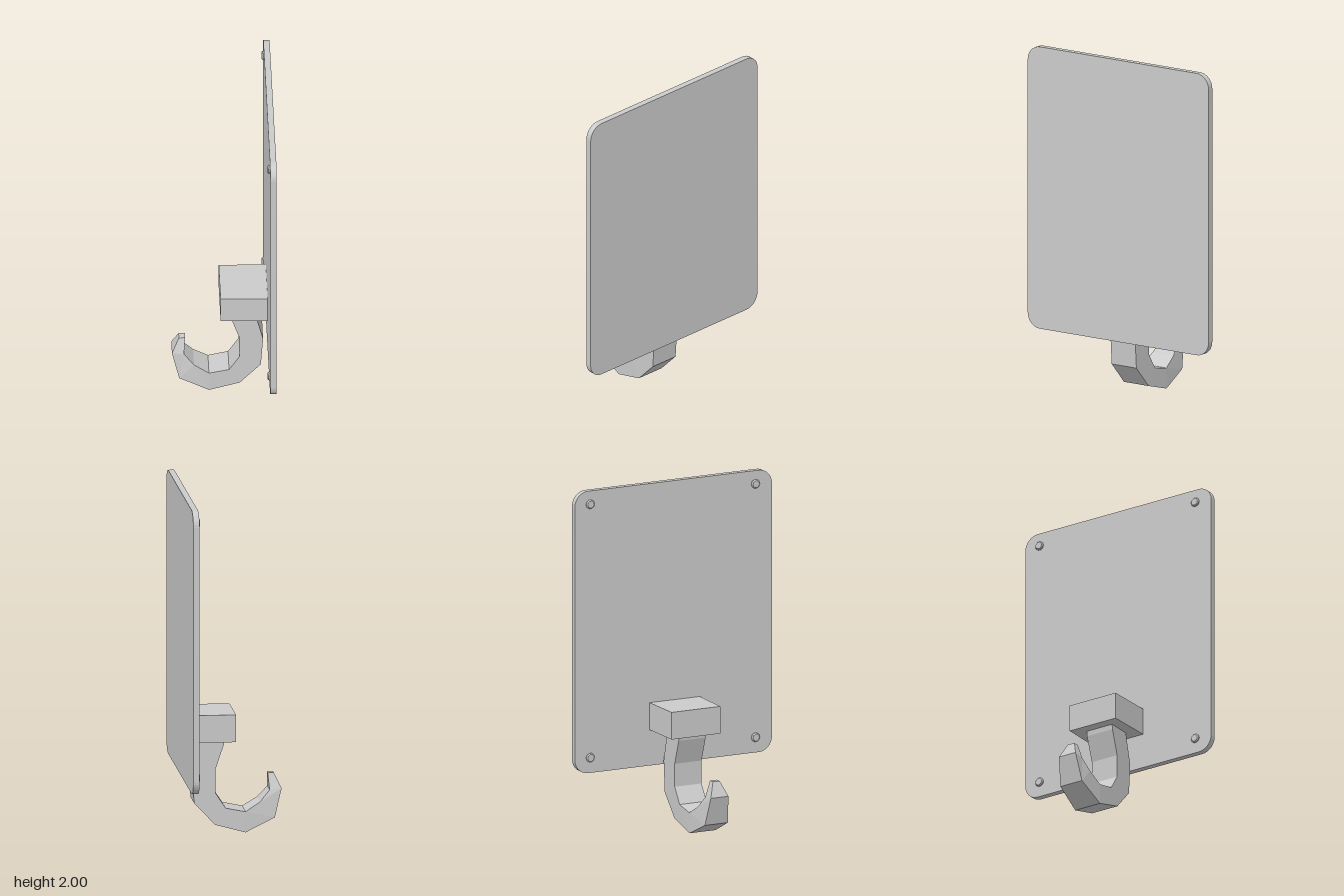
import * as THREE from 'three';

const material = new THREE.MeshStandardMaterial({ color: 0xcccccc, flatShading: true });

function addMesh(parent, name, geometry) {
  const mesh = new THREE.Mesh(geometry, material);
  mesh.name = name;
  parent.add(mesh);
  return mesh;
}

// Rounded rectangle centred on the origin
function roundedRect(w, h, r) {
  const s = new THREE.Shape();
  const x = w / 2, y = h / 2;
  s.moveTo(-x + r, -y);
  s.lineTo(x - r, -y);
  s.absarc(x - r, -y + r, r, -Math.PI / 2, 0);
  s.lineTo(x, y - r);
  s.absarc(x - r, y - r, r, 0, Math.PI / 2);
  s.lineTo(-x + r, y);
  s.absarc(-x + r, y - r, r, Math.PI / 2, Math.PI);
  s.lineTo(-x, -y + r);
  s.absarc(-x + r, -y + r, r, Math.PI, Math.PI * 1.5);
  return s;
}

// Hook swept through four-cornered sections: [innerX, innerY, outerX, outerY, halfWidth]
function hookGeometry() {
  const sections = [
    [0.042, 0.56, 0.182, 0.56, 0.087],
    [0.046, 0.52, 0.192, 0.52, 0.087],
    [0.095, 0.375, 0.23, 0.365, 0.087],
    [0.095, 0.24, 0.217, 0.182, 0.087],
    [0.035, 0.148, 0.097, 0.053, 0.087],
    [-0.08, 0.124, -0.08, 0.003, 0.085],
    [-0.165, 0.177, -0.25, 0.084, 0.074],
    [-0.222, 0.243, -0.291, 0.25, 0.057],
    [-0.215, 0.335, -0.25, 0.335, 0.022],
  ];
  const zMid = 0.011;
  const positions = [], index = [];
  for (const [ix, iy, ox, oy, w] of sections) {
    positions.push(ix, iy, zMid - w, ox, oy, zMid - w, ox, oy, zMid + w, ix, iy, zMid + w);
  }
  const quad = (a, b, c, d) => index.push(a, b, c, a, c, d);
  for (let i = 0; i < sections.length - 1; i++) {
    for (let k = 0; k < 4; k++) {
      const a = i * 4 + k, b = i * 4 + (k + 1) % 4;
      quad(a, b, b + 4, a + 4);
    }
  }
  const end = (sections.length - 1) * 4;
  quad(0, 3, 2, 1);
  quad(end, end + 1, end + 2, end + 3);
  const g = new THREE.BufferGeometry();
  g.setAttribute('position', new THREE.Float32BufferAttribute(positions, 3));
  g.setIndex(index);
  const flat = g.toNonIndexed();
  flat.computeVertexNormals();
  return flat;
}

export function createModel() {
  const model = new THREE.Group();
  model.name = 'wallHook';

  // Thin backing plate
  const plate = new THREE.ExtrudeGeometry(roundedRect(1.276, 1.66, 0.085), {
    depth: 0.036, bevelEnabled: false, curveSegments: 4,
  });
  plate.rotateY(-Math.PI / 2);
  plate.translate(0.29, 1.17, 0);
  addMesh(model, 'backPlate', plate);

  // Block that carries the hook, slightly wider where it meets the plate
  const block = new THREE.BoxGeometry(0.275, 0.16, 0.315);
  block.translate(0.122, 0.63, 0.003);
  const p = block.attributes.position;
  for (let i = 0; i < p.count; i++) {
    if (p.getX(i) > 0.2 && p.getZ(i) > 0) p.setZ(i, 0.171);
  }
  block.computeVertexNormals();
  addMesh(model, 'mountBlock', block);

  addMesh(model, 'hook', hookGeometry());

  // Screw heads in the four corners
  const screw = new THREE.LatheGeometry(
    [[0.027, 0], [0.027, 0.007], [0.021, 0.014], [0, 0.014]].map(([r, h]) => new THREE.Vector2(r, h)), 10);
  screw.rotateZ(Math.PI / 2);
  for (const y of [0.43, 1.922]) {
    for (const z of [-0.54, 0.53]) {
      addMesh(model, 'screwHead', screw).position.set(0.256, y, z);
    }
  }
  return model;
}
